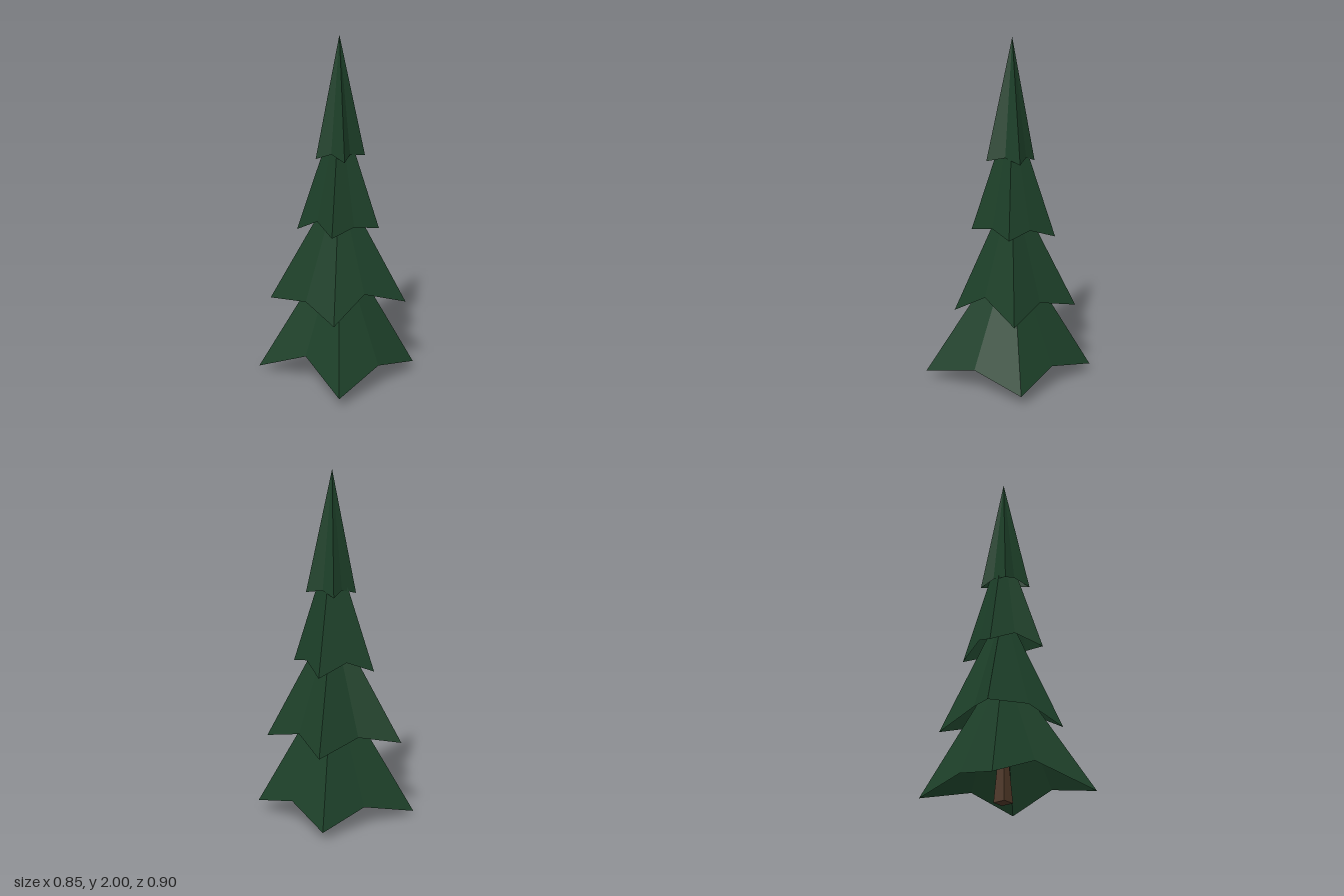
import * as THREE from 'three';

const AXIS_X = 0.016, AXIS_Z = -0.02;

// Star-shaped skirt of foliage: an open faceted cone over a drooping rim.
function foliageTier(name, rim, topY, material) {
  const positions = [];
  rim.forEach((point, i) => {
    const next = rim[(i + 1) % rim.length];
    positions.push(AXIS_X, topY, AXIS_Z, ...next, ...point);
  });
  const geometry = new THREE.BufferGeometry();
  geometry.setAttribute('position', new THREE.Float32BufferAttribute(positions, 3));
  geometry.computeVertexNormals();
  const mesh = new THREE.Mesh(geometry, material);
  mesh.name = name;
  return mesh;
}

export function createModel() {
  const tree = new THREE.Group();
  tree.name = 'pineTree';
  const needles = new THREE.MeshStandardMaterial({
    color: 0x1d4029, flatShading: true, side: THREE.DoubleSide });
  needles.name = 'needle green';
  const bark = new THREE.MeshStandardMaterial({ color: 0x4e3727, flatShading: true });
  bark.name = 'bark brown';

  // Rims alternate branch tip and notch, clockwise from the back as seen from above.
  const tiers = [
    { name: 'bottomFoliage', topY: 0.83, rim: [
      [-0.158, 0.045, -0.45], [0.13, 0.13, -0.29], [0.422, 0.055, -0.185], [0.317, 0.135, 0.12],
      [0.208, 0.05, 0.447], [-0.09, 0.168, 0.23], [-0.424, 0.023, 0.16], [-0.253, 0.11, -0.135]] },
    { name: 'lowerFoliage', topY: 1.18, rim: [
      [-0.093, 0.435, -0.372], [0.125, 0.51, -0.215], [0.387, 0.447, -0.135], [0.215, 0.543, 0.085],
      [0.115, 0.41, 0.3], [-0.1, 0.493, 0.2], [-0.37, 0.445, 0.1], [-0.19, 0.5, -0.09]] },
    { name: 'upperFoliage', topY: 1.62, rim: [
      [-0.03, 0.863, -0.262], [0.11, 0.93, -0.15], [0.243, 0.9, -0.065], [0.14, 0.93, 0.06],
      [0.065, 0.897, 0.207], [-0.07, 0.95, 0.1], [-0.227, 0.865, 0.03], [-0.12, 0.93, -0.1]] },
    { name: 'topFoliage', topY: 2, rim: [
      [-0.055, 1.297, -0.132], [0.03, 1.33, -0.105], [0.141, 1.312, -0.1], [0.09, 1.335, 0],
      [0.1, 1.312, 0.107], [0, 1.34, 0.06], [-0.097, 1.303, 0.055], [-0.06, 1.33, -0.045]] },
  ];
  tiers.forEach(t => tree.add(foliageTier(t.name, t.rim, t.topY, needles)));

  // Short tapered four-sided trunk, slightly twisted
  const trunk = new THREE.Mesh(
    new THREE.CylinderGeometry(0.033, 0.053, 0.21, 4, 1, false, THREE.MathUtils.degToRad(35)), bark);
  trunk.name = 'trunk';
  trunk.position.set(AXIS_X - 0.003, 0.105, AXIS_Z);
  tree.add(trunk);

  return tree;
}
